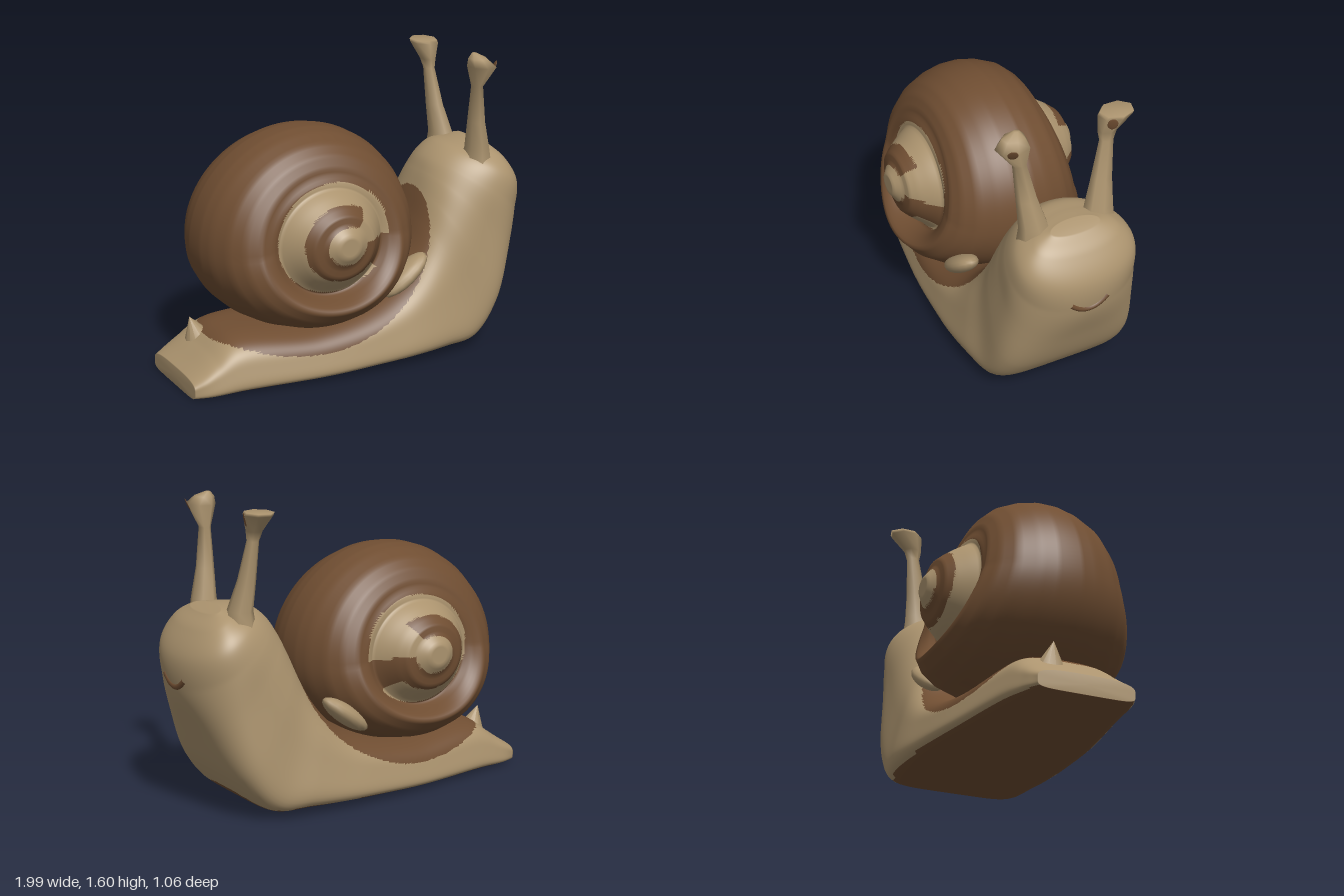
import * as THREE from 'three';

const tan = new THREE.MeshStandardMaterial({ color: 0xab936e });
tan.name = 'tan skin';
const brown = new THREE.MeshStandardMaterial({ color: 0x704e32 });
brown.name = 'brown shell';

// Closed loft: point(i, angle) gives ring i; isBrown(centre, normal) colours each face.
function loft(name, rings, sides, point, isBrown) {
  const pos = [], lists = [[], []];
  for (let i = 0; i < rings; i++)
    for (let j = 0; j < sides; j++) pos.push(...point(i, (j / sides) * Math.PI * 2).toArray());
  const vert = (k) => new THREE.Vector3().fromArray(pos, k * 3);
  const tri = new THREE.Triangle(), mid = new THREE.Vector3(), nor = new THREE.Vector3();
  const addFace = (...f) => {
    tri.set(...f.map(vert));
    if (tri.getArea() < 1e-9) return;
    tri.getMidpoint(mid);
    tri.getNormal(nor);
    lists[isBrown(mid, nor) ? 1 : 0].push(...f);
  };
  for (let i = 0; i < rings - 1; i++)
    for (let j = 0; j < sides; j++) {
      const k = (j + 1) % sides;
      const a = i * sides + j, b = i * sides + k, c = b + sides, d = a + sides;
      addFace(a, d, c);
      addFace(a, c, b);
    }
  const geo = new THREE.BufferGeometry();
  geo.setAttribute('position', new THREE.Float32BufferAttribute(pos, 3));
  geo.setIndex([...lists[0], ...lists[1]]);
  geo.addGroup(0, lists[0].length, 0);
  geo.addGroup(lists[0].length, lists[1].length, 1);
  geo.computeVertexNormals();
  const mesh = new THREE.Mesh(geo, [tan, brown]);
  mesh.name = name;
  return mesh;
}

// Body sections: sole x, y, half width, then back x, y, half width
const SECTIONS = [
  [-1, 0, 0.25, -1, 0.1, 0.25],
  [-0.94, 0, 0.28, -0.94, 0.14, 0.26],
  [-0.88, 0, 0.3, -0.87, 0.19, 0.26],
  [-0.74, 0.005, 0.33, -0.75, 0.27, 0.26],
  [-0.3, 0.01, 0.4, -0.3, 0.27, 0.33],
  [0, 0.02, 0.43, 0, 0.33, 0.35],
  [0.2, 0.025, 0.445, 0.18, 0.42, 0.34],
  [0.42, 0.03, 0.44, 0.3, 0.56, 0.33],
  [0.62, 0.04, 0.415, 0.37, 0.7, 0.32],
  [0.78, 0.2, 0.4, 0.42, 0.83, 0.32],
  [0.9, 0.45, 0.37, 0.46, 0.93, 0.32],
  [0.98, 0.66, 0.365, 0.5, 1.0, 0.31],
  [0.99, 0.83, 0.35, 0.58, 1.06, 0.27],
  [0.92, 0.97, 0.27, 0.68, 1.075, 0.19],
  [0.84, 1.05, 0.14, 0.76, 1.08, 0.12],
];

function makeBody() {
  const curve = (o) => new THREE.CatmullRomCurve3(
    SECTIONS.map((s) => new THREE.Vector3(s[o], s[o + 1], s[o + 2])));
  const sole = curve(0), back = curve(3), steps = 196;
  const point = (i, a) => {
    const t = THREE.MathUtils.clamp((i - 1) / steps, 0, 1);
    const size = i === 0 || i === steps + 2 ? 0 : 1; // closed ends
    // Square-edged foot blending into a round head
    const c = Math.cos(a), s = Math.sin(a);
    const head = THREE.MathUtils.smoothstep(t, 0.55, 0.8);
    const n = THREE.MathUtils.lerp(c > 0 ? 6 : 3, 2.1, head);
    const r = size * (Math.abs(c) ** n + Math.abs(s) ** n) ** (-1 / n);
    const p = sole.getPoint(t).lerp(back.getPoint(t), (1 - r * c) / 2);
    return new THREE.Vector3(p.x, p.y, p.z * r * s);
  };
  // Brown sole with an arched front edge, and a brown mantle patch around the shell seat
  const isBrown = (p, n) => {
    if (n.y < -0.85 && p.y < 0.1) return true;
    if (p.x > 0.58 && p.y < 0.11 - 0.6 * p.z * p.z) return true;
    const x = (p.x + 0.26) / (p.x < -0.26 ? 0.8 : 0.7);
    const y = (p.y - 0.72) / 0.68, z = p.z / 0.65;
    return x * x + y * y + z * z < 1;
  };
  return loft('body', steps + 3, 120, point, isBrown);
}

// Half profile of the shell from the side tip to the rim: radius, depth
const PROFILE = [
  [0, 0.53], [0.06, 0.53], [0.12, 0.49], [0.17, 0.48], [0.21, 0.44], [0.25, 0.39], [0.29, 0.34],
  [0.33, 0.36], [0.4, 0.37], [0.47, 0.33], [0.53, 0.26], [0.575, 0.15], [0.595, 0.05],
];

function makeShell() {
  // Split each profile step so the spiral gets clean edges
  const half = PROFILE.slice(0, -1).flatMap(([r, z], i) => [0, 0.25, 0.5, 0.75].map((t) => [
    THREE.MathUtils.lerp(r, PROFILE[i + 1][0], t), THREE.MathUtils.lerp(z, PROFILE[i + 1][1], t)]));
  half.push(PROFILE.at(-1));
  const rows = [...half, ...half.map(([r, z]) => [r, -z]).reverse()];
  const point = (i, a) => {
    const [r, z] = rows[i], s = Math.sin(a);
    const outer = THREE.MathUtils.smoothstep(r, 0.25, 0.4);
    const rr = r * (1 - 0.16 * outer * Math.max(0, -s) ** 2);
    return new THREE.Vector3(
      -0.26 - 0.025 * r + rr * Math.cos(a),
      0.78 - 0.1 * r + rr * s * 0.95,
      z * (1 - (s > 0 ? 0.2 : 0.36) * s * outer)); // fuller towards the bottom
  };
  // Tan spiral: outer ring with a gap, an open brown ring, tan centre
  const isBrown = (p) => {
    const x = p.x + 0.255, y = (p.y - 0.775) * 1.12, r = Math.hypot(x, y);
    const deg = (Math.atan2(y, x) * 180 / Math.PI + 360) % 360;
    if (Math.abs(p.z) < 0.2 || r > 0.315) return true;
    if (deg > 318 && deg < 355 && r > 0.11) return true;
    return r > 0.11 && r < 0.215 && deg > 55;
  };
  return loft('shell', rows.length, 144, point, isBrown);
}

// Eye stalk rings: x, y, z, radius
function makeStalk(name, tip) {
  const side = Math.sign(tip[0][2]);
  const rings = [
    [0.71, 0.98, 0.17 * side, 0.1], [0.71, 1.07, 0.18 * side, 0.078],
    [0.685, 1.22, 0.205 * side, 0.056], [0.665, 1.42, 0.235 * side, 0.037], ...tip];
  rings.push([...rings.at(-1).slice(0, 3), 0]);
  return loft(name, rings.length, 7, (i, a) => {
    const [x, y, z, r] = rings[i];
    return new THREE.Vector3(x + r * 0.8 * Math.cos(a), y, z + r * Math.sin(a));
  }, () => false);
}

// Frontmost surface point of a mesh at a given y and z
function frontHit(mesh, y, z) {
  const ray = new THREE.Raycaster(new THREE.Vector3(3, y, z), new THREE.Vector3(-1, 0, 0));
  return ray.intersectObject(mesh)[0];
}

function makePupil(name, stalk, y, z) {
  const { point, face } = frontHit(stalk, y, z);
  const pupil = new THREE.Mesh(new THREE.SphereGeometry(1, 14, 10), brown);
  pupil.name = name;
  pupil.scale.set(0.026, 0.034, 0.004);
  pupil.position.copy(point);
  pupil.lookAt(point.clone().add(face.normal));
  return pupil;
}

export function createModel() {
  const model = new THREE.Group();
  model.name = 'snail';
  const body = makeBody();
  model.add(body, makeShell());

  // Eye stalks with slightly different tips
  const left = makeStalk('leftEyeStalk', [
    [0.665, 1.535, 0.272, 0.09], [0.65, 1.575, 0.26, 0.06], [0.64, 1.6, 0.24, 0.015]]);
  const right = makeStalk('rightEyeStalk', [
    [0.66, 1.47, -0.24, 0.05], [0.66, 1.555, -0.28, 0.09], [0.66, 1.57, -0.29, 0.088]]);
  model.add(left, right,
    makePupil('leftPupil', left, 1.53, 0.3), makePupil('rightPupil', right, 1.53, -0.24));

  // Smile laid on the front of the head
  const path = [];
  for (let i = 0; i <= 10; i++) {
    const k = i / 5 - 1;
    const y = 0.682 + 0.05 * k * k, z = 0.1 * k + 0.008;
    path.push(new THREE.Vector3(frontHit(body, y, z).point.x - 0.01, y, z));
  }
  const smile = new THREE.Mesh(
    new THREE.TubeGeometry(new THREE.CatmullRomCurve3(path), 24, 0.018, 8), brown);
  smile.name = 'smile';
  model.add(smile);

  // Pointed bump on the tail
  const bump = new THREE.Mesh(new THREE.ConeGeometry(0.09, 0.16, 12), tan);
  bump.name = 'tailBump';
  bump.position.set(-0.835, 0.235, -0.1);
  bump.rotation.z = 0.35;
  model.add(bump);

  // Tan lip of the shell opening on both sides
  for (const side of [1, -1]) {
    const lip = new THREE.Mesh(new THREE.SphereGeometry(1, 16, 10), tan);
    lip.name = side > 0 ? 'leftShellLip' : 'rightShellLip';
    lip.scale.set(0.16, 0.05, 0.08);
    lip.position.set(0.18, 0.485, 0.32 * side);
    lip.rotation.z = 0.65;
    model.add(lip);
  }
  return model;
}
